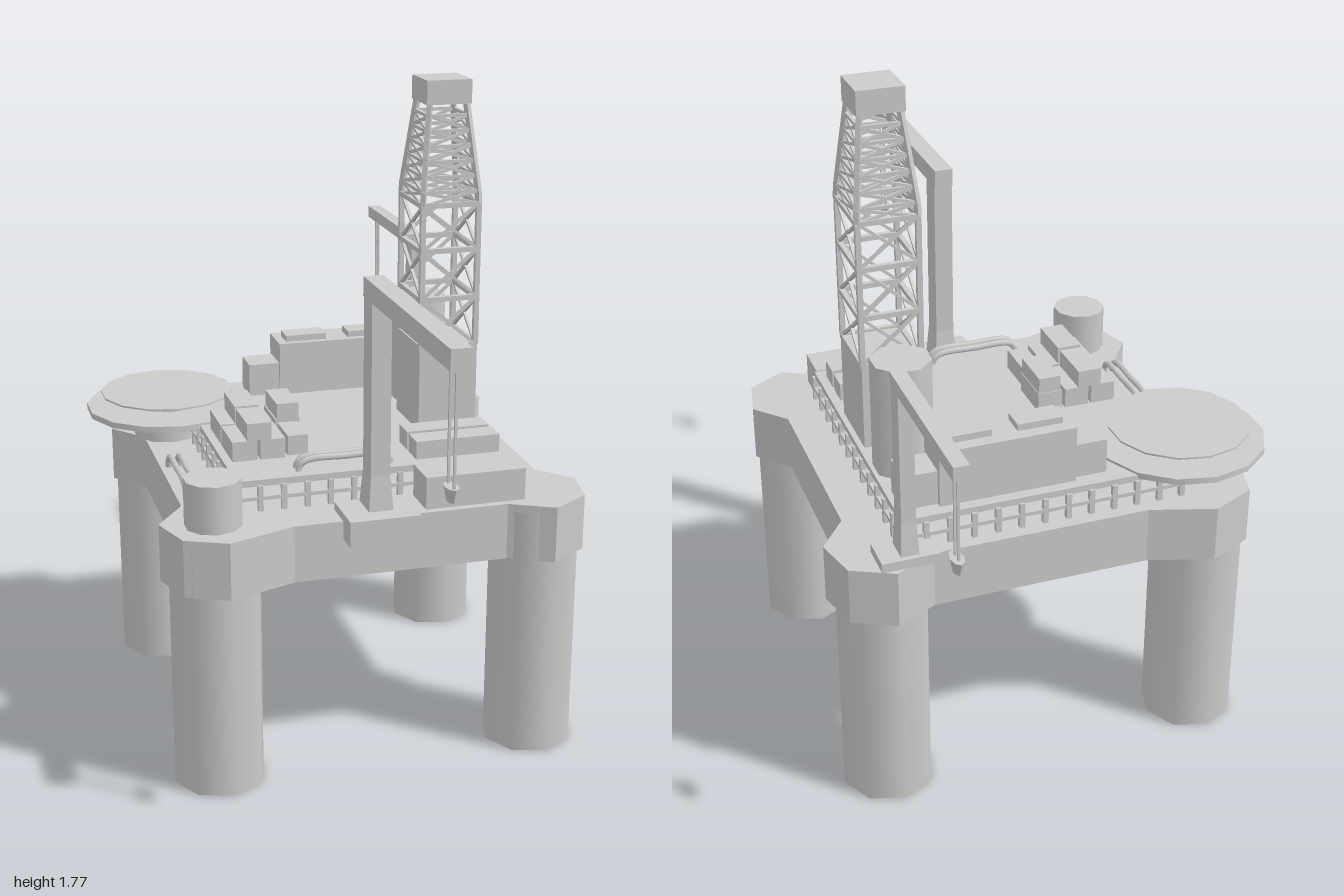
import * as THREE from 'three';

const mat = new THREE.MeshStandardMaterial({ color: 0xcccccc, side: THREE.DoubleSide });
const flat = new THREE.MeshStandardMaterial({ color: 0xcccccc, flatShading: true, side: THREE.DoubleSide });
const V = (x, y, z) => new THREE.Vector3(x, y, z);

function add(parent, name, geometry, material = mat) {
  const mesh = new THREE.Mesh(geometry, material);
  mesh.name = name;
  parent.add(mesh);
  return mesh;
}

// Box given by its limits on each axis
function box(parent, name, x0, x1, y0, y1, z0, z1) {
  const m = add(parent, name, new THREE.BoxGeometry(x1 - x0, y1 - y0, z1 - z0));
  m.position.set((x0 + x1) / 2, (y0 + y1) / 2, (z0 + z1) / 2);
  return m;
}

// Upright cylinder given by centre, radius and height limits
function drum(parent, name, x, z, r, y0, y1, sides, open = false) {
  const m = add(parent, name, new THREE.CylinderGeometry(r, r, y1 - y0, sides, 1, open));
  m.position.set(x, (y0 + y1) / 2, z);
  return m;
}

// Square bar between two points
function beam(parent, name, a, b, t) {
  const m = add(parent, name, new THREE.BoxGeometry(t, t, a.distanceTo(b)));
  m.position.copy(a).lerp(b, 0.5);
  m.lookAt(b);
  return m;
}

function group(parent, name) {
  const g = new THREE.Group();
  g.name = name;
  parent.add(g);
  return g;
}

// Main hull: a skirt open below with a deck on top, bulging round the legs
function buildHull(root) {
  const plan = [
    [-0.46, 0.2], [-0.54, 0.31], [-0.5, 0.43], [-0.39, 0.48], [-0.21, 0.415],
    [0.37, 0.415], [0.485, 0.475], [0.59, 0.41], [0.615, 0.285], [0.535, 0.195],
    [0.535, -0.36], [0.61, -0.46], [0.58, -0.58], [0.47, -0.635], [0.36, -0.58],
    [-0.22, -0.58], [-0.39, -0.635], [-0.51, -0.58], [-0.54, -0.46], [-0.46, -0.36],
  ];
  const y0 = 0.565, y1 = 0.72, skirt = [];
  plan.forEach(([ax, az], i) => {
    const [bx, bz] = plan[(i + 1) % plan.length];
    skirt.push(ax, y0, az, bx, y0, bz, bx, y1, bz, ax, y0, az, bx, y1, bz, ax, y1, az);
  });
  const wall = new THREE.BufferGeometry();
  wall.setAttribute('position', new THREE.Float32BufferAttribute(skirt, 3));
  wall.computeVertexNormals();
  const hull = group(root, 'hull');
  add(hull, 'hullSkirt', wall, flat);
  const top = new THREE.ShapeGeometry(new THREE.Shape(plan.map(([x, z]) => new THREE.Vector2(x, -z))));
  top.rotateX(-Math.PI / 2).translate(0, y1, 0);
  add(hull, 'mainDeck', top);
}

// Crane: foot, mast, boom and hanging hook; dir is the boom's z direction
function buildCrane(root, name, o) {
  const g = group(root, name), { x, z, w, d, dir } = o;
  const foot = add(g, 'craneFoot', new THREE.CylinderGeometry(Math.SQRT1_2, 0.9, 0.1, 4).rotateY(Math.PI / 4), flat);
  foot.scale.set(w, 1, d);
  foot.position.set(x, 0.785, z);
  box(g, 'craneMast', x - w / 2, x + w / 2, 0.8, o.boomY0, z - d / 2, z + d / 2);
  const tail = z - dir * (d / 2 + 0.008);
  box(g, 'craneBoom', x - w / 2, x + w / 2, o.boomY0, o.boomY1, Math.min(tail, dir), Math.max(tail, dir));
  for (const s of [-1, 1]) {
    const cz = o.hookZ + s * o.gap;
    beam(g, 'hoistCable', V(x, o.hookY, cz), V(x, o.boomY0, cz), 0.006);
  }
  const hook = add(g, 'hookBlock', new THREE.CylinderGeometry(0.033, 0.02, 0.036, 8), flat);
  hook.scale.set(0.5, 1, 1);
  hook.position.set(x, o.hookY - 0.016, o.hookZ);
}

// Lattice tower: straight lower panels, tapering upper panels, X braces
function buildDerrick(root) {
  const g = group(root, 'derrick'), cx = 0.332, cz = -0.07;
  box(g, 'derrickBase', 0.248, 0.415, 0.8, 1.045, -0.17, 0.03);
  const levels = [1.045, 1.18, 1.315, 1.44, 1.475, 1.515, 1.555, 1.595, 1.635, 1.675];
  const corner = (y, i) => {
    const t = Math.max(0, (y - 1.46) / 0.22);
    const hx = 0.079 - 0.024 * t, hz = 0.094 - 0.036 * t;
    const sx = [1, 1, -1, -1][i % 4], sz = [1, -1, -1, 1][i % 4];
    return V(cx + sx * hx, y, cz + sz * hz);
  };
  levels.forEach((y, k) => {
    const next = levels[k + 1] ?? 1.705;
    for (let i = 0; i < 4; i++) {
      beam(g, 'towerLeg', corner(y, i), corner(next, i), 0.014);
      beam(g, 'towerGirt', corner(y, i), corner(y, i + 1), y < 1.45 ? 0.014 : 0.009);
      if (k === levels.length - 1) continue;
      beam(g, 'towerBrace', corner(y, i), corner(next, i + 1), 0.008);
      beam(g, 'towerBrace', corner(y, i + 1), corner(next, i), 0.008);
    }
  });
  box(g, 'crownBlock', 0.269, 0.395, 1.705, 1.77, -0.135, -0.005);
}

// Raised deck on posts with a rail below its edge
function buildUpperDeck(root) {
  const g = group(root, 'upperDeck');
  const x0 = -0.33, x1 = 0.43, z0 = -0.54, z1 = 0.285;
  box(g, 'upperDeckPlate', x0, x1, 0.787, 0.805, z0, z1);
  const pts = [[x0, z0], [x1, z0], [x1, z1], [x0, z1]];
  pts.forEach(([ax, az], i) => {
    const [bx, bz] = pts[(i + 1) % 4];
    beam(g, 'lowerRail', V(ax, 0.755, az), V(bx, 0.755, bz), 0.01);
    const n = 12;
    for (let k = 0; k < n; k++) {
      const x = ax + (bx - ax) * k / n, z = az + (bz - az) * k / n;
      box(g, 'deckPost', x - 0.007, x + 0.007, 0.71, 0.79, z - 0.007, z + 0.007);
    }
  });
}

// Arched pipe between two ground points
function pipe(parent, ax, az, bx, bz, y, h) {
  const a = V(ax, y, az), b = V(bx, y, bz), up = V(0, h, 0);
  const at = (t) => a.clone().lerp(b, t).add(up);
  const path = new THREE.CatmullRomCurve3([a, a.clone().lerp(b, 0.03).addScaledVector(up, 0.7), at(0.13), at(0.5), at(0.87),
    a.clone().lerp(b, 0.97).addScaledVector(up, 0.7), b]);
  add(parent, 'archedPipe', new THREE.TubeGeometry(path, 20, 0.009, 6));
}

export function createModel() {
  const root = new THREE.Group();
  root.name = 'offshorePlatform';
  buildHull(root);
  for (const x of [-0.402, 0.473]) for (const z of [0.343, -0.495])
    drum(root, 'supportLeg', x, z, 0.124, 0, 0.7, 8, true).rotation.y = 0.1;
  buildUpperDeck(root);
  buildDerrick(root);

  // Cranes on their pedestals
  box(root, 'frontCranePedestal', -0.08, 0.11, 0.672, 0.742, 0.33, 0.48);
  buildCrane(root, 'frontCrane', { x: 0.018, z: 0.383, w: 0.052, d: 0.07, dir: 1, boomY0: 1.292, boomY1: 1.343, hookZ: 0.95, gap: 0.02, hookY: 1.005 });
  box(root, 'rearCranePedestal', 0.355, 0.505, 0.72, 0.745, -0.62, -0.52);
  buildCrane(root, 'rearCrane', { x: 0.429, z: -0.572, w: 0.038, d: 0.056, dir: -1, boomY0: 1.187, boomY1: 1.223, hookZ: -0.962, gap: 0.012, hookY: 0.965 });

  // Round tanks
  drum(root, 'cornerTank', -0.405, 0.345, 0.075, 0.72, 0.848, 10);
  drum(root, 'storageTank', 0.345, -0.285, 0.08, 0.8, 1.115, 8).rotation.y = Math.PI / 8;

  // Landing pad
  const pad = group(root, 'landingPad');
  drum(pad, 'padRim', -0.385, -0.395, 0.232, 0.795, 0.812, 14);
  drum(pad, 'padSurface', -0.385, -0.395, 0.19, 0.845, 0.85, 14);
  drum(pad, 'padSupport', -0.385, -0.395, 0.1, 0.72, 0.846, 10);

  // Rear housing with side blocks and roof units
  const house = group(root, 'deckHouse');
  box(house, 'houseBlock', -0.045, 0.32, 0.8, 0.96, -0.51, -0.39);
  for (const x of [-0.02, 0.17]) box(house, 'roofUnit', x, x + 0.122, 0.955, 0.978, -0.475, -0.41);
  box(house, 'sideBlock', -0.135, -0.045, 0.8, 0.9, -0.495, -0.4);
  box(house, 'sideBlock', 0.32, 0.412, 0.8, 0.9, -0.495, -0.4);
  box(root, 'frontLocker', 0.15, 0.425, 0.72, 0.808, 0.287, 0.395);

  // Cargo containers, long and stacked
  const cargo = group(root, 'containers');
  for (const z of [0.1, 0.183]) box(cargo, 'longContainer', 0.17, 0.405, 0.805, 0.855, z, z + 0.066);
  for (const x of [-0.307, -0.23, -0.152]) {
    box(cargo, 'container', x, x + 0.068, 0.805, 0.86, -0.147, -0.012);
    const short = x > -0.2 ? 0.012 : 0;
    box(cargo, 'container', x, x + 0.068 - short, 0.805, 0.86, short, 0.138 - short);
  }
  box(cargo, 'stackedContainer', -0.266, -0.2, 0.86, 0.908, 0.003, 0.138);
  box(cargo, 'stackedContainer', -0.266, -0.2, 0.86, 0.908, -0.147, -0.012);
  box(cargo, 'stackedContainer', -0.148, -0.086, 0.86, 0.905, -0.145, -0.012);

  // Arched pipes on both decks
  for (const d of [0, 0.026]) {
    pipe(root, -0.155, 0.22 + d, 0.1, 0.22 + d, 0.8, 0.035);
    pipe(root, -0.437 + d, -0.1, -0.437 + d, 0.155, 0.72, 0.04);
  }
  return root;
}
